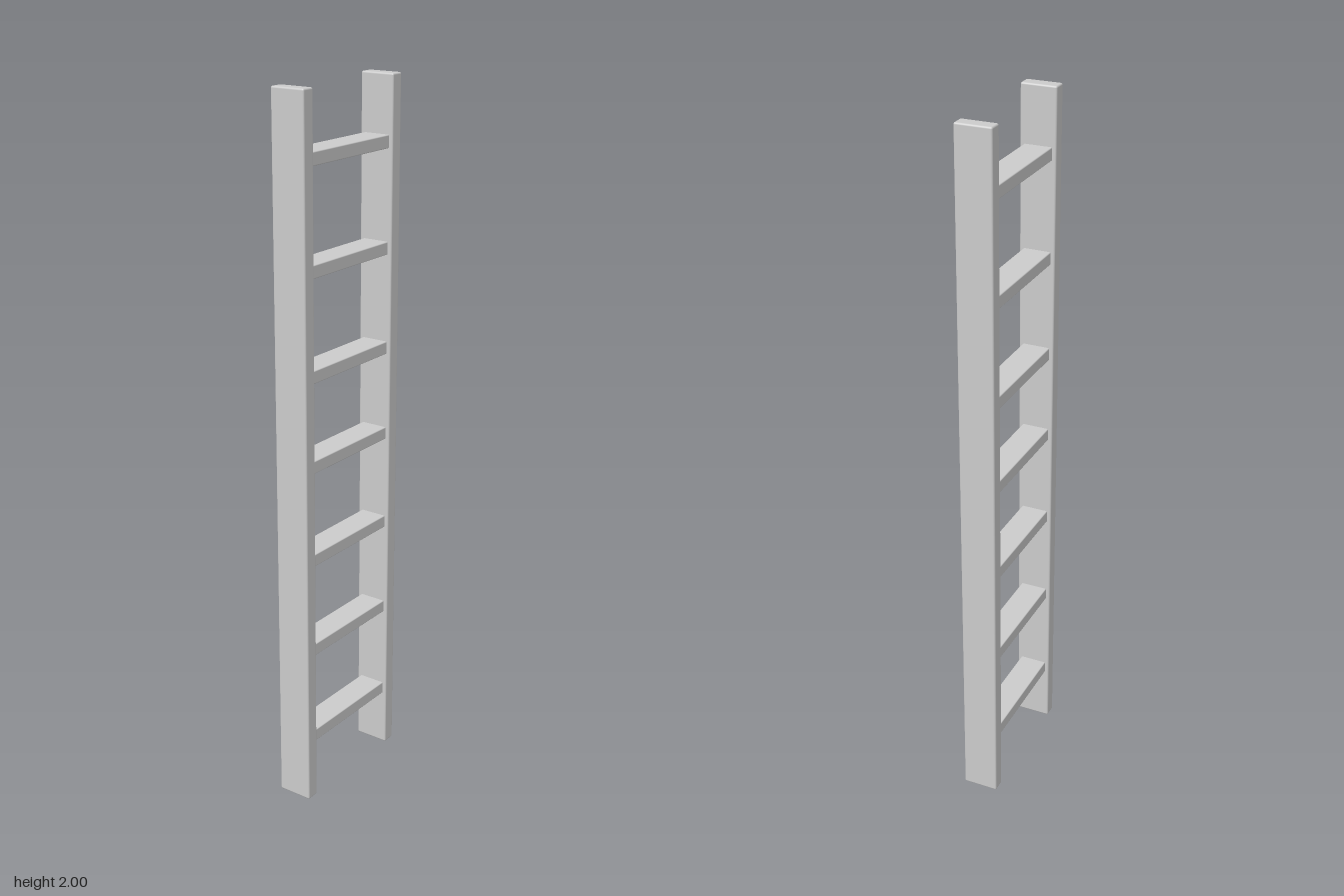
import * as THREE from 'three';
import { RoundedBoxGeometry } from 'three/addons/geometries/RoundedBoxGeometry.js';

export function createModel() {
  const model = new THREE.Group();
  model.name = 'ladder';
  const material = new THREE.MeshStandardMaterial({ color: 0xcccccc });

  const addBeam = (name, size, position, radius) => {
    const mesh = new THREE.Mesh(new RoundedBoxGeometry(...size, 2, radius), material);
    mesh.name = name;
    mesh.position.set(...position);
    model.add(mesh);
  };

  // Two upright side rails with softly eased edges
  for (const [name, side] of [['leftRail', 1], ['rightRail', -1]]) {
    addBeam(name, [0.04, 2, 0.102], [side * 0.193, 1, 0], 0.005);
  }

  // Flat rungs, slightly unevenly spaced, with ends let into the rails
  const rungHeights = [0.184, 0.458, 0.731, 1.003, 1.255, 1.536, 1.823];
  rungHeights.forEach((y, i) => {
    addBeam(`rung${i + 1}`, [0.36, 0.036, 0.079], [0, y, 0], 0.003);
  });

  return model;
}
